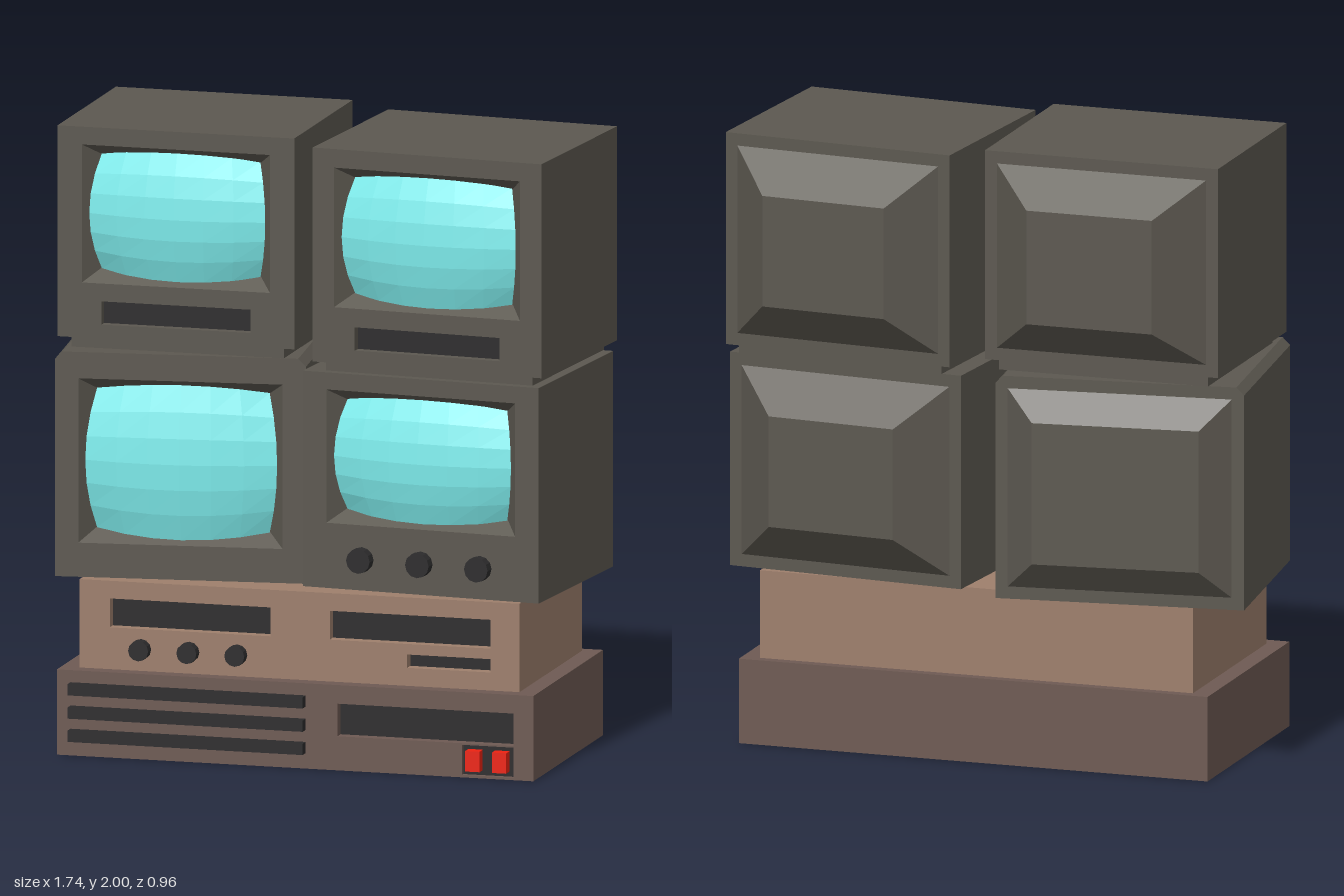
import * as THREE from 'three';

const mat = (color) => new THREE.MeshStandardMaterial({ color, flatShading: true, side: THREE.DoubleSide });
const CASE = mat(0x5c5850), GLASS = mat(0x7feeee), DARK = mat(0x2c2b2c), TAN = mat(0x9e7f6c), BROWN = mat(0x6e5a53), RED = mat(0xee2211);

function add(parent, name, geometry, material, x = 0, y = 0, z = 0) {
  const mesh = new THREE.Mesh(geometry, material);
  mesh.name = name;
  mesh.position.set(x, y, z);
  parent.add(mesh);
  return mesh;
}

// Box from corner limits
function block(parent, name, material, x0, x1, y0, y1, z0, z1) {
  return add(parent, name, new THREE.BoxGeometry(x1 - x0, y1 - y0, z1 - z0), material, (x0 + x1) / 2, (y0 + y1) / 2, (z0 + z1) / 2);
}

function knob(parent, x, y, z, r, length) {
  add(parent, 'knob', new THREE.CylinderGeometry(r, r, length, 12).rotateX(Math.PI / 2), DARK, x, y, z + length / 2);
}

// Housing with rectangular openings [x0, x1, y0, y1] cut into its front; c chamfers the top corners
function housing(parent, name, material, [x0, x1, y0, y1], zBack, zFront, openings, cut, c = 0) {
  const outline = () => new THREE.Shape([[x0, y0], [x1, y0], [x1, y1 - c], [x1 - c, y1], [x0 + c, y1], [x0, y1 - c]]
    .filter((p, i) => c > 0 || (i !== 3 && i !== 5)).map((p) => new THREE.Vector2(...p)));
  const front = outline();
  for (const [a, b, d, e] of openings) {
    front.holes.push(new THREE.Path([[a, d], [a, e], [b, e], [b, d]].map((p) => new THREE.Vector2(...p))));
  }
  const extrude = (shape, depth) => new THREE.ExtrudeGeometry(shape, { depth, bevelEnabled: false });
  add(parent, name, extrude(outline(), zFront - cut - zBack), material, 0, 0, zBack);
  add(parent, name + 'Front', extrude(front, cut), material, 0, 0, zFront - cut);
}

// Four sloped sides between two rectangles, the second one further back
function slopes(w0, h0, z0, w1, h1, z1, capped) {
  const ring = (w, h, z) => [[-w / 2, -h / 2, z], [w / 2, -h / 2, z], [w / 2, h / 2, z], [-w / 2, h / 2, z]];
  const a = ring(w0, h0, z0), b = ring(w1, h1, z1), points = [];
  const quad = (p, q, r, s) => points.push(...p, ...q, ...r, ...p, ...r, ...s);
  for (let i = 0; i < 4; i++) {
    const j = (i + 1) % 4;
    if (capped) quad(a[i], b[i], b[j], a[j]);
    else quad(a[i], a[j], b[j], b[i]);
  }
  if (capped) quad(b[0], b[3], b[2], b[1]);
  const g = new THREE.BufferGeometry();
  g.setAttribute('position', new THREE.Float32BufferAttribute(points, 3));
  g.computeVertexNormals();
  return g;
}

// Barrel-edged bulging picture tube
function glass(w, h, bulge) {
  const g = new THREE.PlaneGeometry(2, 2, 6, 6), p = g.attributes.position;
  for (let i = 0; i < p.count; i++) {
    const u = p.getX(i), v = p.getY(i);
    p.setXYZ(i, u * w / 2 * (1 - 0.1 * v * v), v * h / 2 * (1 - 0.1 * u * u), bulge * (1 - (u * u + v * v) / 2));
  }
  g.computeVertexNormals();
  return g;
}

function monitor(root, o) {
  const g = new THREE.Group();
  g.name = o.name;
  g.position.set(o.x, o.y, o.z);
  g.rotation.y = o.turn;
  root.add(g);
  const { w, h, d, sw, sh, sy } = o, f = d / 2;
  const openings = [[-sw / 2, sw / 2, sy - sh / 2, sy + sh / 2]];
  if (o.slot) {
    openings.push([-0.245, 0.245, 0.045, 0.12]);
    block(g, 'slotFloor', DARK, -0.245, 0.245, 0.045, 0.12, f - 0.06, f - 0.03);
  }
  housing(g, 'case', CASE, [-w / 2, w / 2, 0, h], -f, f, openings, 0.08, o.chamfer);
  add(g, 'screenSurround', slopes(sw, sh, f, sw - 0.11, sh - 0.09, f - 0.07, false), CASE, 0, sy, 0);
  add(g, 'screen', glass(sw - 0.04, sh - 0.03, 0.09), GLASS, 0, sy, f - 0.06);
  const [bw, bh, depth] = o.back;
  add(g, 'backHousing', slopes(w - 0.08, h - 0.08, -f, bw, bh, -f - depth, true), CASE, 0, h / 2, 0);
  if (o.foot) block(g, 'foot', CASE, -0.35, 0.35, -o.foot, 0, -f + 0.02, f - 0.02);
  if (o.knobs) for (const x of [-0.2, 0, 0.2]) knob(g, x, 0.1, f, 0.04, 0.035);
}

export function createModel() {
  const root = new THREE.Group();
  root.name = 'monitorStack';

  // Lower unit: vents, drive slot and red buttons
  const base = new THREE.Group();
  base.name = 'lowerUnit';
  root.add(base);
  const drive = [0.165, 0.745, 0.11, 0.215], buttons = [0.575, 0.745, 0.008, 0.105];
  housing(base, 'lowerCase', BROWN, [-0.76, 0.81, 0, 0.275], -0.345, 0.445, [drive, buttons], 0.05);
  block(base, 'driveFloor', DARK, ...drive, 0.39, 0.41);
  block(base, 'buttonPanel', DARK, ...buttons, 0.39, 0.43);
  for (const y of [0.05, 0.125, 0.2]) block(base, 'ventBar', DARK, -0.715, 0.06, y, y + 0.036, 0.44, 0.48);
  for (const x of [0.592, 0.68]) block(base, 'redButton', RED, x, x + 0.047, 0.024, 0.09, 0.42, 0.467);

  // Upper unit: drive slots and dials
  const deck = new THREE.Group();
  deck.name = 'upperUnit';
  root.add(deck);
  const slots = [[-0.6, -0.07, 0.41, 0.503], [0.125, 0.655, 0.41, 0.503], [0.38, 0.655, 0.333, 0.376]];
  housing(deck, 'upperCase', TAN, [-0.7, 0.75, 0.275, 0.56], -0.312, 0.395, slots, 0.05);
  for (const s of slots) block(deck, 'slotFloor', DARK, ...s, 0.34, 0.36);
  for (const x of [-0.497, -0.338, -0.18]) knob(deck, x, 0.345, 0.395, 0.033, 0.035);

  // Four monitors, each turned a little differently
  monitor(root, { name: 'upperRightMonitor', x: -0.41, y: 1.32, z: -0.03, turn: 0, w: 0.78, h: 0.68, d: 0.66,
    sw: 0.62, sh: 0.445, sy: 0.4, slot: true, foot: 0.035, back: [0.42, 0.37, 0.12] });
  monitor(root, { name: 'upperLeftMonitor', x: 0.455, y: 1.285, z: 0, turn: -0.083, w: 0.775, h: 0.69, d: 0.67,
    sw: 0.63, sh: 0.45, sy: 0.405, slot: true, foot: 0.03, back: [0.42, 0.36, 0.115] });
  monitor(root, { name: 'lowerRightMonitor', x: -0.432, y: 0.56, z: -0.025, turn: 0.123, w: 0.805, h: 0.725, d: 0.695,
    sw: 0.655, sh: 0.53, sy: 0.375, chamfer: 0.025, back: [0.54, 0.46, 0.07] });
  monitor(root, { name: 'lowerLeftMonitor', x: 0.437, y: 0.56, z: 0.016, turn: -0.085, w: 0.8, h: 0.695, d: 0.655,
    sw: 0.64, sh: 0.43, sy: 0.425, knobs: true, back: [0.43, 0.36, 0.115] });
  return root;
}
